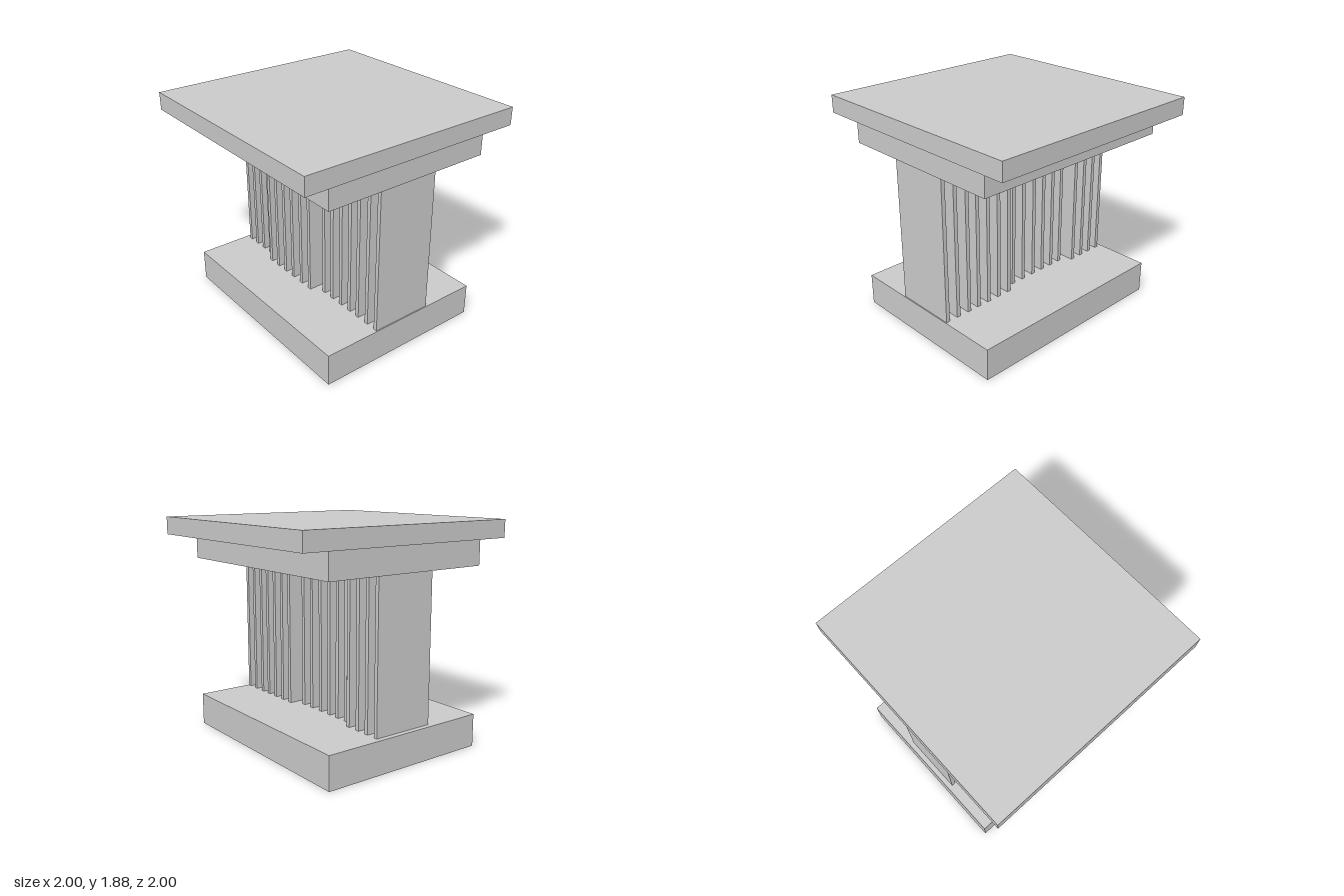
import * as THREE from 'three';

const material = new THREE.MeshStandardMaterial({ color: 0xcccccc, flatShading: true });

// Box given by its limits on each axis
function block(name, [x0, x1], [y0, y1], [z0, z1]) {
  const mesh = new THREE.Mesh(new THREE.BoxGeometry(x1 - x0, y1 - y0, z1 - z0), material);
  mesh.position.set((x0 + x1) / 2, (y0 + y1) / 2, (z0 + z1) / 2);
  mesh.name = name;
  return mesh;
}

export function createModel() {
  const model = new THREE.Group();
  model.name = 'finnedPedestal';

  // Base, upper block and top slab
  model.add(
    block('base', [-0.963, 0.93], [0, 0.277], [-0.757, 0.757]),
    block('upperBlock', [-0.958, 0.935], [1.518, 1.73], [-0.757, 0.757]),
    block('topSlab', [-1, 1], [1.73, 1.88], [-1, 1])
  );

  // Row of upright fins; the fifth to tenth sit slightly further forward
  const fins = new THREE.Group();
  fins.name = 'fins';
  const finX = [-0.902, -0.794, -0.685, -0.572, -0.457, -0.348, -0.235, -0.12, 0.003,
    0.12, 0.24, 0.352, 0.465, 0.576, 0.68, 0.794, 0.904];
  const halfWidth = 0.017;
  finX.forEach((x, i) => {
    const shift = i >= 4 && i <= 9 ? 0.065 : 0;
    fins.add(block(`fin${i + 1}`, [x - halfWidth, x + halfWidth], [0.277, 1.518],
      [-0.271 + shift, 0.271 + shift]));
  });
  model.add(fins);
  return model;
}
